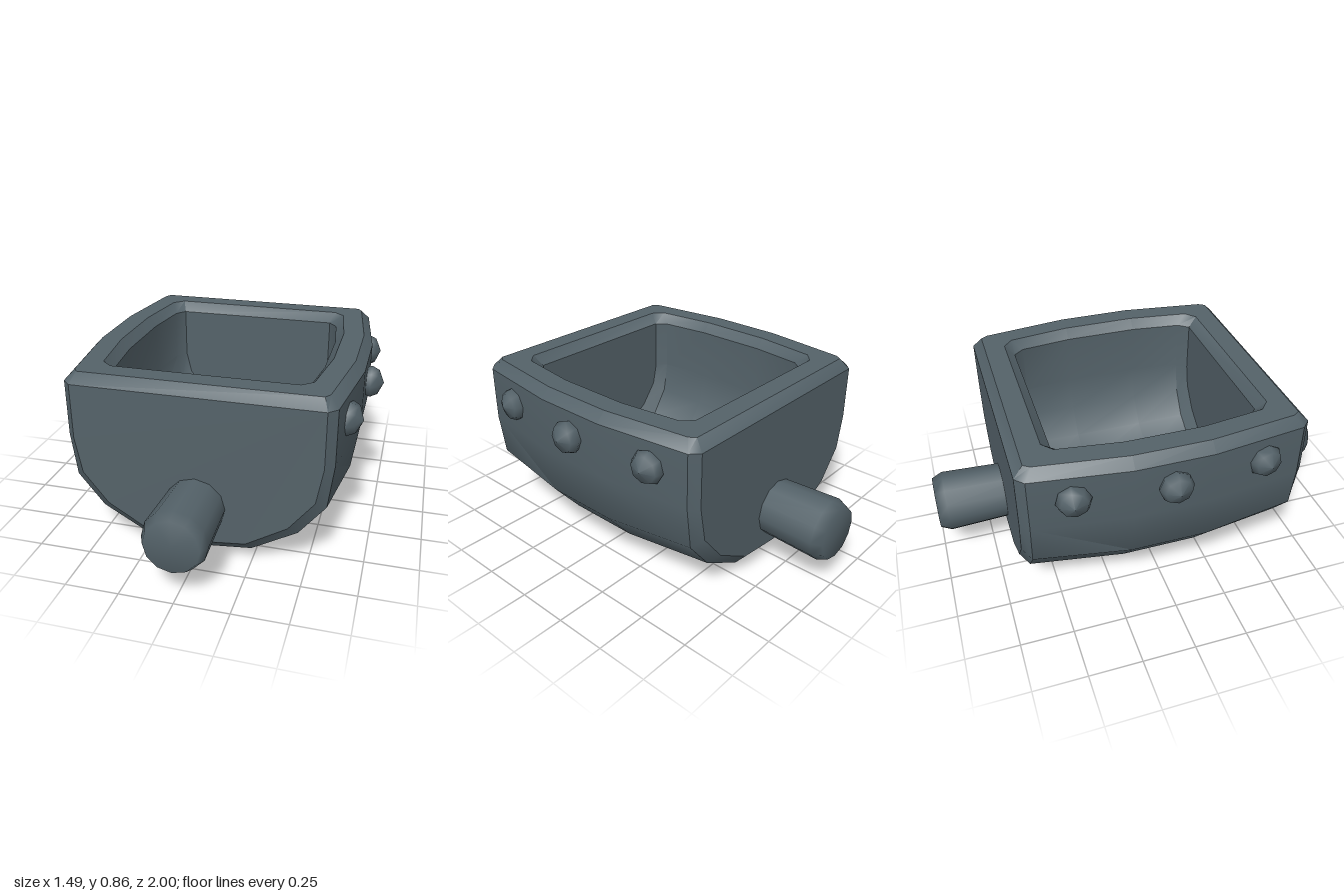
import * as THREE from 'three';
import { toCreasedNormals } from 'three/addons/utils/BufferGeometryUtils.js';

const RIM_Y = 0.857;

// Half sections of the tub, from the top edge down to the keel: [z, [x, y]...]
const OUTER = [
  [0.67, [[0.565, 0.81], [0.565, 0.55], [0.535, 0.38], [0.42, 0.235], [0.23, 0.12], [0, 0.095]]],
  [0.63, [[0.605, 0.81], [0.605, 0.55], [0.58, 0.345], [0.46, 0.195], [0.25, 0.075], [0, 0.05]]],
  [0.18, [[0.665, 0.81], [0.665, 0.55], [0.63, 0.315], [0.495, 0.155], [0.27, 0.03], [0, 0]]],
];
const INNER = [
  [0.48, [[0.41, 0.81], [0.41, 0.56], [0.385, 0.45], [0.3, 0.34], [0.165, 0.25], [0, 0.23]]],
  [0.43, [[0.45, 0.81], [0.45, 0.56], [0.425, 0.41], [0.34, 0.285], [0.185, 0.195], [0, 0.175]]],
  [0.18, [[0.48, 0.81], [0.48, 0.56], [0.455, 0.395], [0.36, 0.265], [0.2, 0.165], [0, 0.145]]],
];
const RIM_OUTER = [[0.545, 0.625], [0.565, 0.595], [0.62, 0.18]];
const RIM_INNER = [[0.43, 0.525], [0.48, 0.48], [0.52, 0.18]];

// Mirror half sections left to right and front to back
function fullSections(halves) {
  const build = ([z, pts], sign) => [
    ...pts.map(([x, y]) => [x, y, z * sign]),
    ...pts.slice(0, -1).reverse().map(([x, y]) => [-x, y, z * sign]),
  ];
  return [...halves.map((h) => build(h, 1)), ...[...halves].reverse().map((h) => build(h, -1))];
}

// Closed horizontal loop from one quarter of [x, z] points
function loop(quarter, y) {
  const side = [
    ...quarter.map(([x, z]) => [x, y, z]),
    ...[...quarter].reverse().map(([x, z]) => [x, y, -z]),
  ];
  return [...side, ...[...side].reverse().map(([x, h, z]) => [-x, h, z])];
}

function tubGeometry() {
  const positions = [];
  const tri = (a, b, c, flip) => positions.push(...a, ...(flip ? c : b), ...(flip ? b : c));
  const skin = (rows, closed, flip) => {
    for (let i = 0; i < rows.length - 1; i++) {
      const n = rows[i].length;
      for (let j = 0; j < (closed ? n : n - 1); j++) {
        const k = (j + 1) % n;
        tri(rows[i][j], rows[i][k], rows[i + 1][k], flip);
        tri(rows[i][j], rows[i + 1][k], rows[i + 1][j], flip);
      }
    }
  };
  const cap = (row, flip) => {
    for (let j = 1; j < row.length - 1; j++) tri(row[0], row[j], row[j + 1], flip);
  };

  // Outer hull and inner cavity, each with flat ends
  for (const [halves, inside] of [[OUTER, false], [INNER, true]]) {
    const rows = fullSections(halves);
    skin(rows, false, inside);
    cap(rows[0], !inside);
    cap(rows[rows.length - 1], inside);
  }
  // Bevelled rim
  const topEdge = (halves) => loop(halves.map(([z, pts]) => [pts[0][0], z]), 0.81);
  skin([topEdge(OUTER), loop(RIM_OUTER, RIM_Y), loop(RIM_INNER, RIM_Y), topEdge(INNER)], true, false);

  const geometry = new THREE.BufferGeometry();
  geometry.setAttribute('position', new THREE.Float32BufferAttribute(positions, 3));
  return toCreasedNormals(geometry, 0.57);
}

const lathe = (pts, sides) =>
  new THREE.LatheGeometry(pts.map(([r, y]) => new THREE.Vector2(r, y)), sides);

export function createModel() {
  const model = new THREE.Group();
  model.name = 'bucket';
  const metal = new THREE.MeshStandardMaterial({ color: 0x546269 });
  metal.name = 'slate metal';
  const add = (geometry, name) => {
    const mesh = new THREE.Mesh(geometry, metal);
    mesh.name = name;
    model.add(mesh);
    return mesh;
  };

  add(tubGeometry(), 'tub');

  // Flared pivot pins at the front and back
  const pin = lathe([[0.133, 0.55], [0.148, 0.95], [0.125, 1], [0, 1]], 12);
  for (const s of [1, -1]) {
    const mesh = add(pin, s > 0 ? 'frontPin' : 'backPin');
    mesh.position.y = 0.285;
    mesh.rotation.x = s * Math.PI / 2;
  }

  // Three domed rivets along each side, following the bulge of the wall
  const rivet = lathe([[0.06, -0.05], [0.08, 0], [0.063, 0.033], [0, 0.06]], 8);
  const up = new THREE.Vector3(0, 1, 0);
  for (const s of [1, -1]) {
    for (const z of [-0.44, 0, 0.44]) {
      const mesh = add(rivet, s > 0 ? 'leftRivet' : 'rightRivet');
      mesh.position.set(s * (z ? 0.635 : 0.685), 0.69, z);
      const normal = new THREE.Vector3(s, 0, Math.sign(z) * 0.13).normalize();
      mesh.quaternion.setFromUnitVectors(up, normal);
    }
  }
  return model;
}
